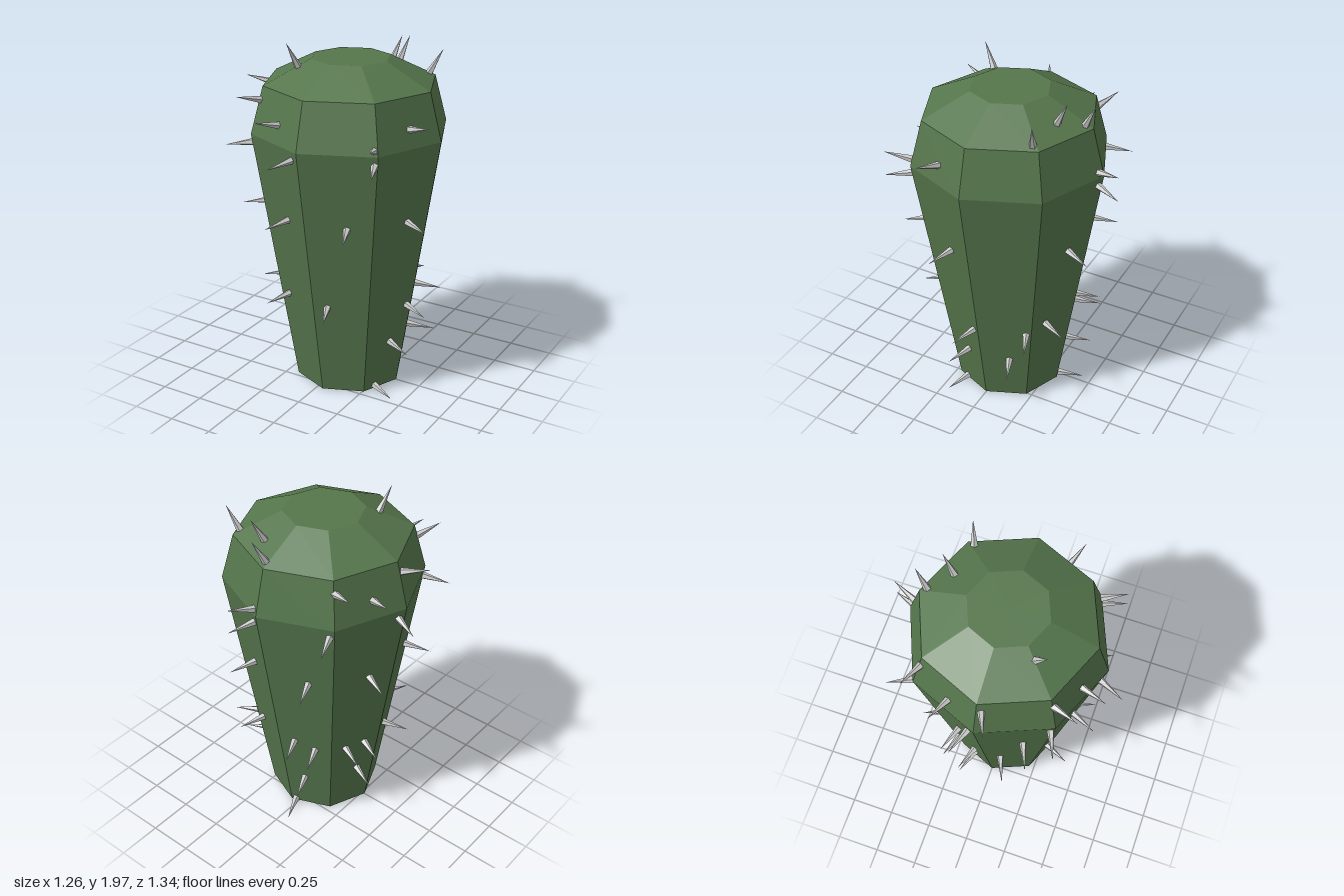
import * as THREE from 'three';

const CENTRE_X = 0.04;
const SIDES = 8;
const STEP = (Math.PI * 2) / SIDES;

// Trunk outline, bottom to top: corner radius and height
const PROFILE = [[0.31, 0.02], [0.55, 1.5], [0.48, 1.76], [0.22, 1.89]];

// Spikes by height: degrees around the trunk, 0 at the front, 90 at the left
const SPIKE_ROWS = [
  [0.04, [58.5, -175]],
  [0.26, [-161.6]],
  [0.315, [-107, 72, 116.6]],
  [0.53, [-149, -122, -103, 85.5, 131]],
  [0.575, [-34, 11, -78, -167.5, 149]],
  [1.07, [-60.6, -18, 28, 73, 161.6, -151.7, -108]],
  [1.45, [-94, -47, -5, 43.5, 177, -137.6]],
  [1.53, [43, 177]],
  [1.6, [-110, -20.5, 69]],
  [1.69, [-87, -44, -134]],
  [1.777, [178, 132.7]],
  [1.81, [160]],
  [1.854, [-43.6]],
];

// Point on the flat trunk face at a height and angle, with that face's outward normal
function surfaceAt(y, angle) {
  const i = PROFILE.findIndex(([, top]) => y <= top);
  const [r0, y0] = PROFILE[i - 1];
  const [r1, y1] = PROFILE[i];
  const cornerRadius = THREE.MathUtils.mapLinear(y, y0, y1, r0, r1);
  const faceAngle = (Math.floor(angle / STEP) + 0.5) * STEP;
  const inset = Math.cos(STEP / 2);
  const radius = (cornerRadius * inset) / Math.cos(angle - faceAngle);
  const rise = y1 - y0;
  return {
    point: new THREE.Vector3(Math.sin(angle) * radius, y, Math.cos(angle) * radius),
    normal: new THREE.Vector3(
      Math.sin(faceAngle) * rise, (r0 - r1) * inset, Math.cos(faceAngle) * rise).normalize(),
  };
}

export function createModel() {
  const model = new THREE.Group();
  const green = new THREE.MeshStandardMaterial({ color: 0x55764c, flatShading: true });
  const grey = new THREE.MeshStandardMaterial({ color: 0xcccccc, flatShading: true });

  // Eight-sided trunk widening upward to a bevelled crown, closed at both ends
  const outline = [[0, 0.02], ...PROFILE, [0, 1.89]].map(([r, y]) => new THREE.Vector2(r, y));
  const body = new THREE.Mesh(new THREE.LatheGeometry(outline, SIDES), green);
  body.name = 'cactusBody';
  body.position.x = CENTRE_X;
  model.add(body);

  // Thin cone spikes standing square to the trunk faces, slightly sunk in
  const spikes = new THREE.Group();
  spikes.name = 'spikes';
  spikes.position.x = CENTRE_X;
  const up = new THREE.Vector3(0, 1, 0);
  const cone = new THREE.ConeGeometry(0.022, 0.165, 5).translate(0, 0.0725, 0);
  for (const [y, angles] of SPIKE_ROWS) {
    for (const degrees of angles) {
      const { point, normal } = surfaceAt(y, THREE.MathUtils.degToRad(degrees));
      const spike = new THREE.Mesh(cone, grey);
      spike.name = 'spike';
      spike.position.copy(point);
      spike.quaternion.setFromUnitVectors(up, normal);
      spikes.add(spike);
    }
  }
  model.add(spikes);
  return model;
}
